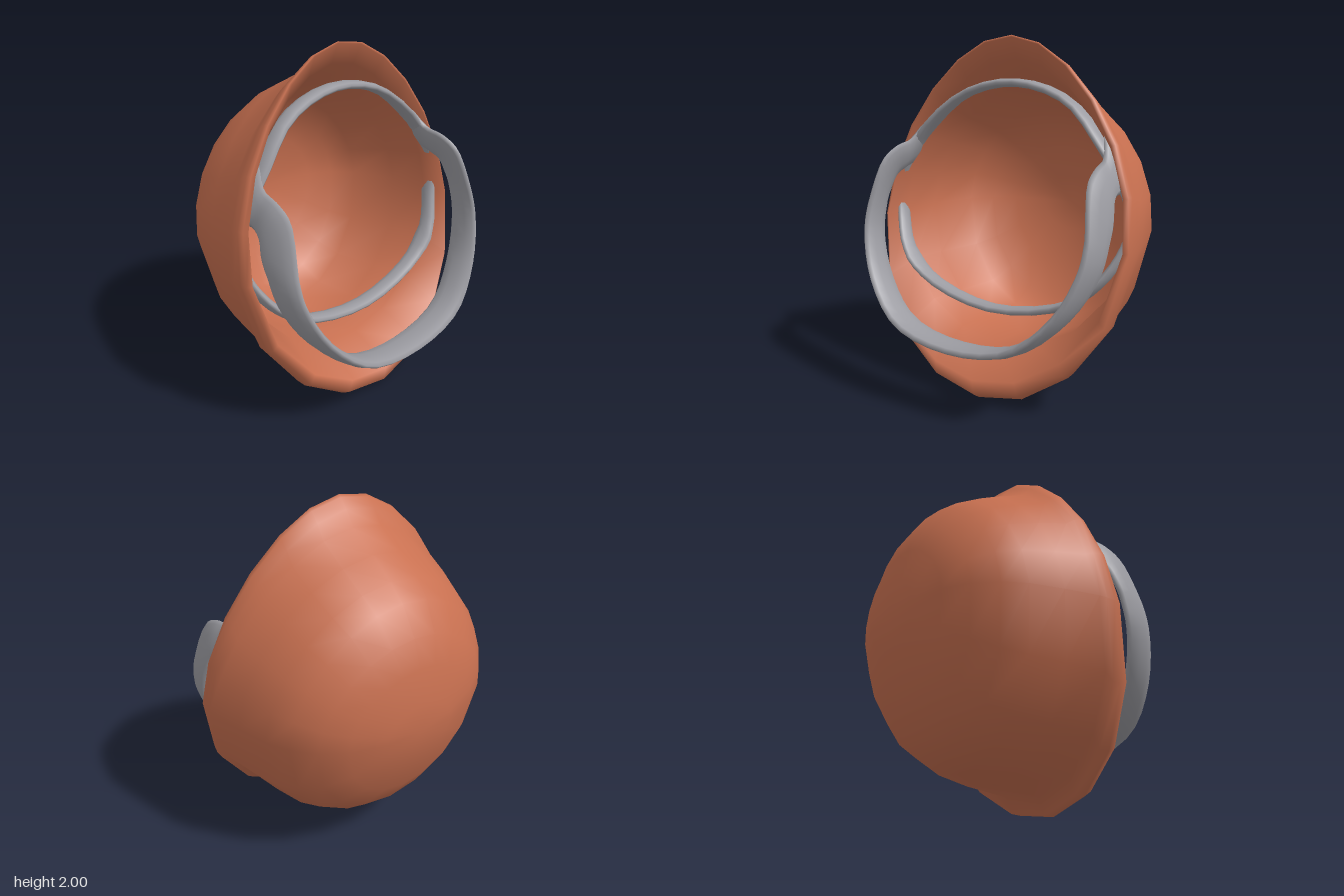
import * as THREE from 'three';
import { mergeVertices } from 'three/addons/utils/BufferGeometryUtils.js';

// Skin a list of rings (arrays of Vector3) with smooth normals.
function skin(rings, closed = false) {
  const n = rings[0].length, m = rings.length, idx = [];
  for (let i = 0; i < (closed ? m : m - 1); i++) {
    for (let j = 0; j < n; j++) {
      const k = (j + 1) % n, i2 = (i + 1) % m;
      const a = i * n + j, b = i * n + k, c = i2 * n + j, d = i2 * n + k;
      idx.push(a, b, c, b, d, c);
    }
  }
  const flat = new THREE.BufferGeometry().setFromPoints(rings.flat());
  flat.setIndex(idx);
  const geo = mergeVertices(flat, 1e-4);
  geo.computeVertexNormals();
  return geo;
}

// Ring through a top and a bottom point, half width w, tapered above, bowed back at the sides.
const MID = 0.93;
const LOWER = [180, 206, 229, 250, 270, 290, 311, 334];
const ANGLES = [...Array.from({ length: 12 }, (_, j) => j * 15), ...LOWER].map(THREE.MathUtils.degToRad);
function shellRing([zT, yT, zB, yB, w, taper = 0.05, bow = 0]) {
  return ANGLES.map(a => {
    const s = Math.sin(a), c = Math.cos(a);
    const y = MID + s * (s > 0 ? yT - MID : MID - yB);
    const f = yT === yB ? 0 : (yT - y) / (yT - yB);
    const x = w * c * (1 - taper * Math.max(0, s) ** 2);
    return new THREE.Vector3(x, y, zT + (zB - zT) * f - bow * c * c);
  });
}

// Flat rounded band along half-path rows [x, y, z, widthX, widthY, widthZ, halfWidth], mirrored in x.
function band(rows, thick, closed) {
  const mirrored = rows.slice(0, -1).reverse().map(([x, y, z, wx, ...r]) => [-x, y, z, -wx, ...r]);
  const all = [...rows, ...mirrored];
  if (closed) all.pop();
  const path = new THREE.CatmullRomCurve3(all.map(r => new THREE.Vector3(r[0], r[1], r[2])), closed);
  const widths = new THREE.CatmullRomCurve3(
    all.map(r => new THREE.Vector3(r[3], r[4], r[5]).setLength(r[6])), closed);
  const steps = 56, rings = [];
  for (let i = 0; i < (closed ? steps : steps + 1); i++) {
    const t = i / steps, p = path.getPoint(t), w = widths.getPoint(t);
    const n = path.getTangent(t).cross(w).setLength(thick);
    const ring = [];
    for (let j = 0; j < 10; j++) {
      const b = (j / 10) * Math.PI * 2;
      ring.push(p.clone().addScaledVector(w, Math.cos(b)).addScaledVector(n, Math.sin(b)));
    }
    rings.push(ring);
  }
  return skin(rings, closed);
}

export function createModel() {
  const model = new THREE.Group();
  const clay = new THREE.MeshStandardMaterial({ color: 0xc87050 });
  clay.name = 'clay orange';
  const grey = new THREE.MeshStandardMaterial({ color: 0x9c9ca2, side: THREE.DoubleSide });
  grey.name = 'strap grey';
  const add = (name, geo, mat) => {
    const mesh = new THREE.Mesh(geo, mat);
    mesh.name = name;
    model.add(mesh);
  };

  // Shell: outer crown, flared rim, then the hollow inside
  const shell = [
    [-0.695, MID, -0.695, MID, 0],
    [-0.69, 1.1, -0.665, 0.75, 0.22],
    [-0.655, 1.3, -0.58, 0.5, 0.41],
    [-0.6, 1.45, -0.46, 0.32, 0.545],
    [-0.5, 1.6, -0.34, 0.21, 0.645],
    [-0.4, 1.68, -0.2, 0.15, 0.71],
    [-0.25, 1.77, 0, 0.12, 0.765, 0.08],
    [-0.08, 1.86, 0.29, 0.1, 0.812, 0.14, 0.05],
    [-0.02, 1.94, 0.325, 0.005, 0.817, 0.16, 0.05],
    [0.03, 1.99, 0.39, 0.003, 0.817, 0.16, 0.06],
    [0.05, 2, 0.44, 0.04, 0.81, 0.16, 0.06],
    [0.05, 1.99, 0.455, 0.13, 0.785, 0.16, 0.06],
    [0, 1.87, 0.2, 0.27, 0.735, 0.14, 0.02],
    [-0.25, 1.72, -0.05, 0.25, 0.715, 0.08],
    [-0.47, 1.56, -0.31, 0.26, 0.61],
    [-0.57, 1.42, -0.43, 0.36, 0.51],
    [-0.62, 1.28, -0.55, 0.53, 0.38],
    [-0.65, 1.09, -0.63, 0.76, 0.2],
    [-0.655, MID, -0.655, MID, 0],
  ];
  add('helmetShell', skin(shell.map(shellRing)), clay);

  // Headband following the opening, sunk into the shell at the sides
  add('headband', band([
    [0, 1.74, 0.0, 0, 0.1, 1, 0.055],
    [0.35, 1.655, 0.02, 0, 0.1, 1, 0.055],
    [0.62, 1.4, 0.08, 0, 0.1, 1, 0.055],
    [0.725, 1.22, 0.08, 0, 0.1, 1, 0.05],
    [0.77, 1.08, 0.085, 0, 0.1, 1, 0.045],
    [0.745, 0.92, 0.12, 0, 0.1, 1, 0.05],
    [0.64, 0.735, 0.2, 0, 0.1, 1, 0.055],
    [0.45, 0.59, 0.235, 0, 0.1, 1, 0.055],
    [0, 0.497, 0.255, 0, 0.1, 1, 0.055],
  ], 0.024, true), grey);

  // Chin strap: flared at the shell, bent at the elbow, looping below the opening
  add('chinStrap', band([
    [0.655, 1.36, 0.06, -0.5, 1, 0.05, 0.16],
    [0.67, 1.3, 0.16, -0.4, 1, 0.05, 0.1],
    [0.685, 1.27, 0.24, -0.35, 0.9, 0.25, 0.11],
    [0.7, 1.2, 0.31, -0.3, 0.75, 0.5, 0.13],
    [0.722, 1.02, 0.38, -0.2, 0.3, 0.95, 0.1],
    [0.705, 0.86, 0.43, -0.12, 0.3, 0.95, 0.1],
    [0.59, 0.63, 0.505, 0, 0.25, 0.97, 0.1],
    [0.37, 0.44, 0.575, 0, 0.15, 1, 0.1],
    [0, 0.375, 0.595, 0, 0.12, 1, 0.1],
  ], 0.028, false), grey);

  return model;
}
